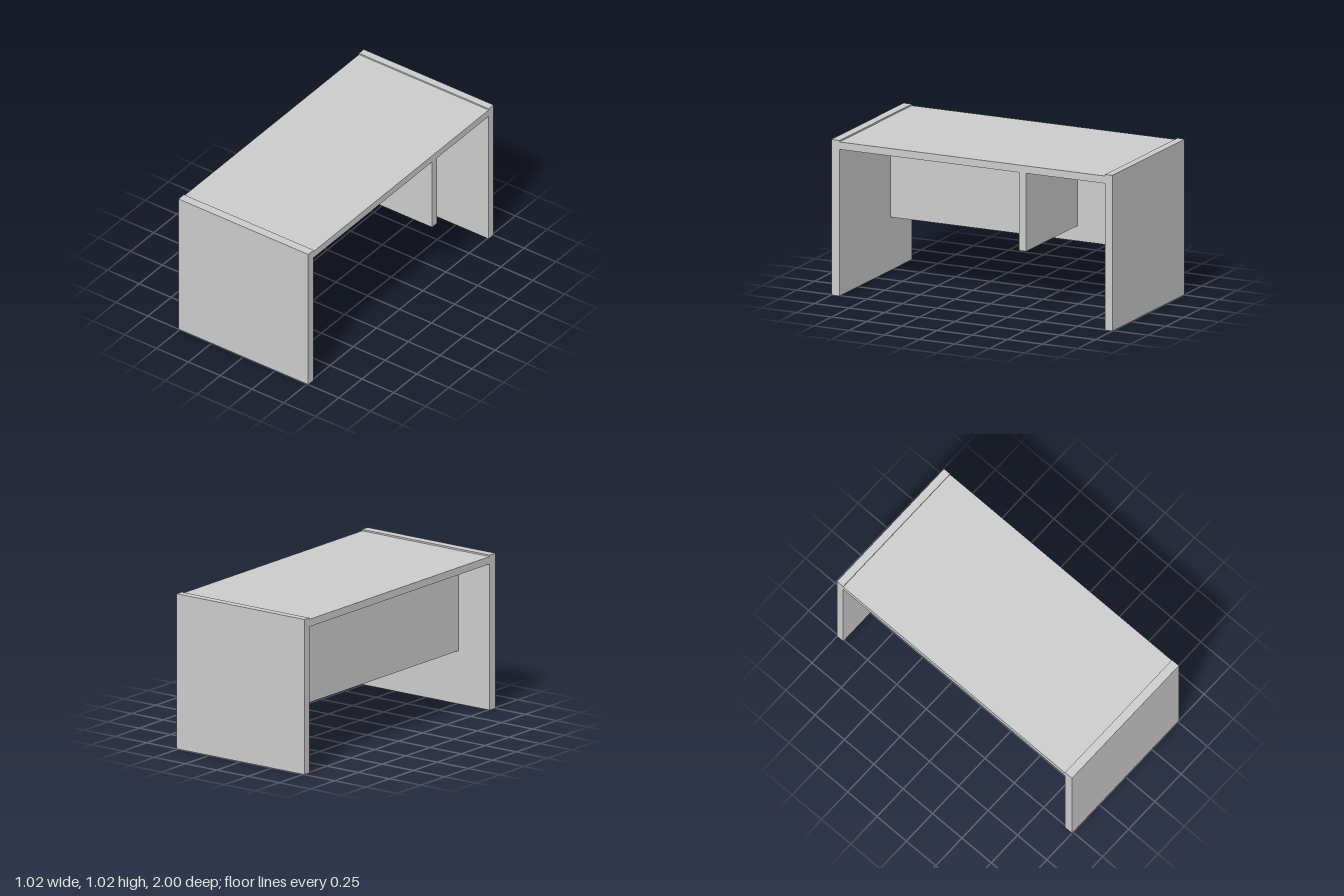
import * as THREE from 'three';

export function createModel() {
  const desk = new THREE.Group();
  desk.name = 'desk';
  const material = new THREE.MeshStandardMaterial({ color: 0xcccccc });

  // Flat board spanning the given ranges on each axis
  const board = (name, [x0, x1], [y0, y1], [z0, z1]) => {
    const mesh = new THREE.Mesh(new THREE.BoxGeometry(x1 - x0, y1 - y0, z1 - z0), material);
    mesh.position.set((x0 + x1) / 2, (y0 + y1) / 2, (z0 + z1) / 2);
    mesh.name = name;
    desk.add(mesh);
  };

  const width = [-0.51, 0.51];
  const inside = [-0.948, 0.941];
  const topUnderside = 0.963;

  // End panels stand slightly proud of the desktop
  board('frontEndPanel', width, [0, 1.022], [inside[1], 1]);
  board('backEndPanel', width, [0, 1.022], [-1, inside[0]]);
  board('desktop', width, [topUnderside, 1.012], inside);

  // Recessed modesty panel, and the divider that meets it
  board('modestyPanel', [-0.26, -0.21], [0.35, topUnderside], inside);
  board('divider', [-0.21, 0.51], [0.45, topUnderside], [-0.387, -0.337]);

  return desk;
}
